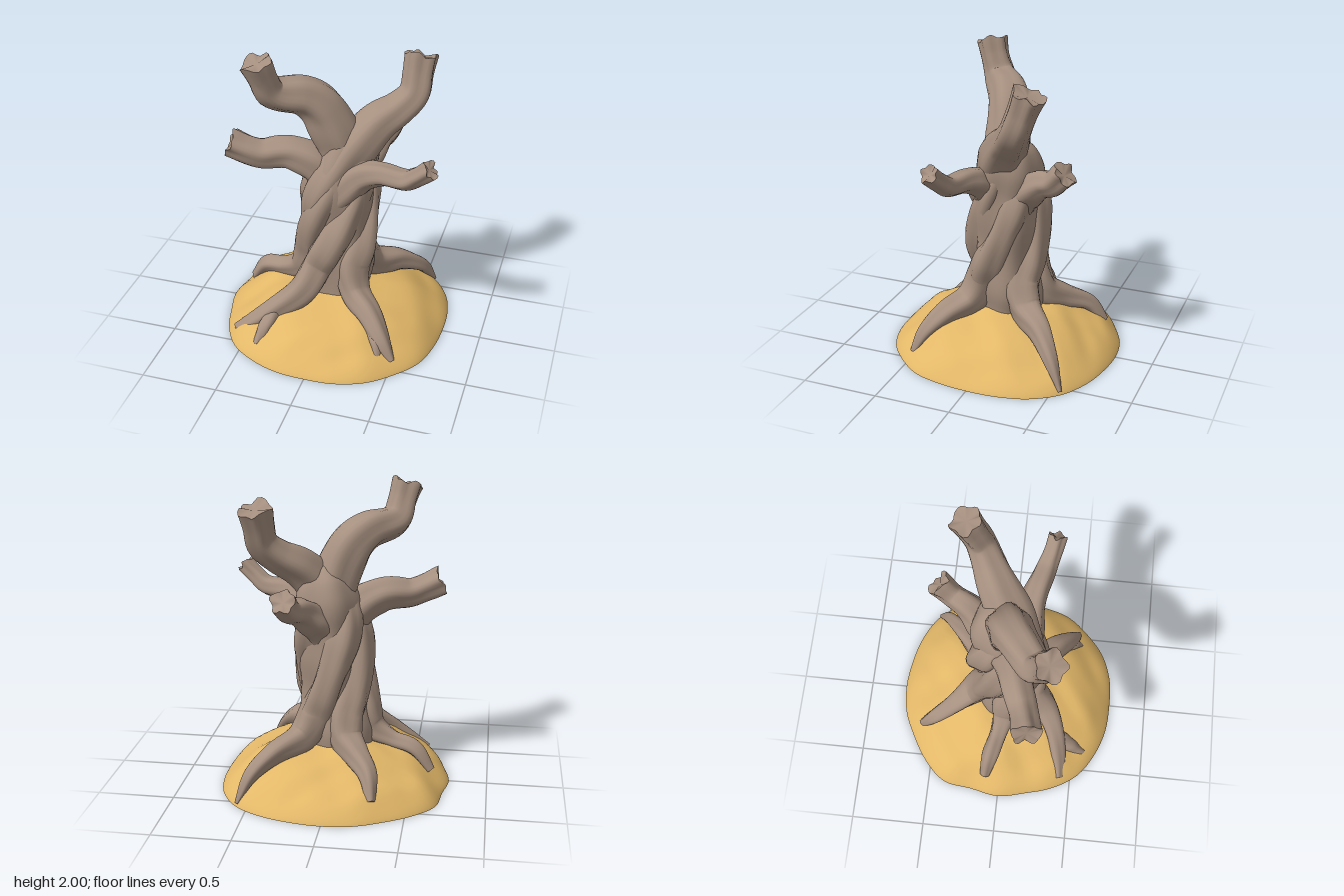
import * as THREE from 'three';

const V = (x, y, z) => new THREE.Vector3(x, y, z);

// Gnarled limb: points are [x, y, z, radius]; ridges run along it and slowly twist.
function limbGeometry(pts, { sides = 20, ridge = 0.08, lobes = 4, twist = 2, seed = 0, ragged = 0 } = {}) {
  const curve = new THREE.CatmullRomCurve3(pts.map(p => V(p[0], p[1], p[2])));
  const radii = new THREE.CatmullRomCurve3(pts.map(p => V(p[3], 0, 0)), false, 'catmullrom');
  const steps = pts.length * 7;
  const f = curve.computeFrenetFrames(steps, false);
  const pos = [], idx = [];
  const flare = ragged ? 1 : 0;
  for (let i = 0; i <= steps; i++) {
    const u = i / steps, t = curve.getUtoTmapping(u);
    const c = curve.getPoint(t), r = radii.getPoint(t).x;
    const end = flare * Math.max(0, (u - 0.8) / 0.2);
    for (let j = 0; j < sides; j++) {
      const a = (j / sides) * Math.PI * 2;
      const k = 1 + ridge * (1 + end * 0.8) * Math.cos(lobes * a + twist * u * 3 + seed)
        + ridge * 0.5 * Math.sin(2 * a - 7 * u + seed * 2) + 0.04 * Math.sin(17 * u + seed + a);
      const p = c.clone().addScaledVector(f.normals[i], Math.cos(a) * r * k)
        .addScaledVector(f.binormals[i], Math.sin(a) * r * k);
      if (i === steps) p.addScaledVector(f.tangents[i], ragged * Math.sin(3 * a + seed * 3) + ragged * 0.6 * Math.sin(7 * a));
      pos.push(p.x, p.y, p.z);
    }
  }
  for (let i = 0; i < steps; i++) for (let j = 0; j < sides; j++) {
    const a = i * sides + j, b = i * sides + (j + 1) % sides;
    idx.push(a, b, b + sides, a, b + sides, a + sides);
  }
  // end caps on their own vertices, so that the rims stay sharp
  for (const i of [0, steps]) {
    const base = pos.length / 3;
    for (let j = 0; j < sides * 3; j++) pos.push(pos[i * sides * 3 + j]);
    const c = curve.getPoint(i / steps).addScaledVector(f.tangents[i], i ? -ragged * 1.2 : 0);
    pos.push(c.x, c.y, c.z);
    for (let j = 0; j < sides; j++) {
      const a = base + j, b = base + (j + 1) % sides;
      idx.push(base + sides, ...(i ? [a, b] : [b, a]));
    }
  }
  const g = new THREE.BufferGeometry();
  g.setAttribute('position', new THREE.Float32BufferAttribute(pos, 3));
  g.setIndex(idx);
  g.computeVertexNormals();
  return g;
}

// Sandy mound: an open dome with an uneven outline and soft dunes.
function moundGeometry() {
  const rim = [0.745, 0.75, 0.77, 0.765, 0.77, 0.76, 0.745, 0.755, 0.765, 0.775, 0.755, 0.735,
    0.75, 0.74, 0.785, 0.765, 0.745, 0.75, 0.75, 0.755, 0.78, 0.805, 0.795, 0.765];
  const rimCurve = new THREE.CatmullRomCurve3(rim.map((r, i) => {
    const a = (i / rim.length) * Math.PI * 2;
    return V(r * Math.cos(a), 0, r * Math.sin(a));
  }), true);
  const segs = 96, rings = 24, pos = [0, 0.32, 0], idx = [];
  for (let i = 1; i <= rings; i++) for (let j = 0; j < segs; j++) {
    const q = Math.sin((i / rings) * Math.PI / 2);
    const p = rimCurve.getPoint(j / segs).multiplyScalar(q);
    const dune = 0.011 * Math.sin(8 * p.x + 15 * p.z) + 0.009 * Math.sin(13 * p.x - 8 * p.z + 1)
      + 0.005 * Math.sin(24 * p.x + 9 * p.z) * Math.cos(21 * p.z);
    const fade = 1 - q * q;
    pos.push(p.x, i === rings ? 0 : 0.32 * Math.pow(fade, 0.78) + dune * Math.min(1, fade * 3), p.z);
  }
  for (let j = 0; j < segs; j++) {
    const n = (j + 1) % segs;
    idx.push(0, 1 + n, 1 + j);
    for (let i = 0; i < rings - 1; i++) {
      const a = 1 + i * segs + j, b = 1 + i * segs + n;
      idx.push(a, b, b + segs, a, b + segs, a + segs);
    }
  }
  const g = new THREE.BufferGeometry();
  g.setAttribute('position', new THREE.Float32BufferAttribute(pos, 3));
  g.setIndex(idx);
  g.computeVertexNormals();
  return g;
}

export function createModel() {
  const bark = new THREE.MeshStandardMaterial({ color: 0xa58f7f });
  bark.name = 'bark';
  const sand = new THREE.MeshStandardMaterial({ color: 0xe2b768, side: THREE.DoubleSide });
  sand.name = 'sand';
  const model = new THREE.Group();
  model.name = 'twistedTree';
  const add = (name, geometry, material = bark) => {
    const m = new THREE.Mesh(geometry, material);
    m.name = name;
    model.add(m);
  };

  add('sandMound', moundGeometry(), sand);

  // trunk core
  add('trunk', limbGeometry([
    [0, 0.25, 0, 0.22], [0, 0.4, 0, 0.23], [0.02, 0.65, 0, 0.215], [0.03, 0.9, 0, 0.215],
    [0.05, 1.12, -0.01, 0.215], [0.07, 1.28, -0.03, 0.2], [0.08, 1.4, -0.04, 0.15], [0.08, 1.47, -0.04, 0.05],
  ], { sides: 40, lobes: 5, ridge: 0.05, twist: -0.8 }));

  // each root rises out of the sand and winds up the trunk as a strand
  const roots = {
    frontRightRoot: [[-0.58, 0.05, 0.42, 0.025], [-0.45, 0.12, 0.4, 0.055], [-0.31, 0.23, 0.36, 0.07], [-0.15, 0.35, 0.27, 0.092]],
    frontLeftRoot: [[0.51, 0.06, 0.48, 0.02], [0.43, 0.17, 0.43, 0.05], [0.32, 0.28, 0.32, 0.075], [0.19, 0.35, 0.2, 0.095]],
    backLeftRoot: [[0.57, 0.02, -0.56, 0.012], [0.49, 0.18, -0.47, 0.045], [0.36, 0.29, -0.35, 0.068], [0.2, 0.35, -0.19, 0.1]],
    backRightRoot: [[-0.29, 0.1, -0.58, 0.03], [-0.26, 0.23, -0.48, 0.055], [-0.17, 0.3, -0.34, 0.075], [-0.09, 0.37, -0.22, 0.1]],
    rightRoot: [[-0.63, 0.12, -0.1, 0.03], [-0.52, 0.26, -0.07, 0.055], [-0.37, 0.3, -0.03, 0.06], [-0.23, 0.37, 0, 0.09]],
  };
  Object.entries(roots).forEach(([name, pts], n) => {
    const [kx, , kz] = pts[3], a0 = Math.atan2(kx, kz) + 0.1;
    const path = [...pts];
    for (let i = 0; i <= 7; i++) {
      const s = i / 7, a = a0 + 2.2 * s;
      const sink = Math.max(0, s - 0.65) / 0.35;
      const r = 0.18 - 0.035 * s - 0.075 * sink;
      path.push([0.05 * s + r * Math.sin(a), 0.5 + 0.88 * s, r * Math.cos(a) - 0.025 * s,
        0.108 - 0.015 * s - 0.035 * sink + 0.008 * Math.sin(9 * s + n)]);
    }
    add(name, limbGeometry(path, { sides: 24, seed: n * 1.7, lobes: 4, ridge: 0.1, twist: 3 }));
  });

  // forked toes
  add('frontRightToe', limbGeometry([[-0.38, 0.06, 0.57, 0.025], [-0.36, 0.13, 0.48, 0.045], [-0.3, 0.23, 0.36, 0.05]], { ridge: 0.06 }));
  add('frontLeftToe', limbGeometry([[0.42, 0.07, 0.51, 0.02], [0.39, 0.16, 0.44, 0.04], [0.31, 0.27, 0.33, 0.05]], { ridge: 0.06 }));

  // broken branches; the upper left one sweeps up out of the front of the trunk
  const branches = {
    upperRightBranch: [[0.05, 1.15, 0, 0.13], [0, 1.38, 0, 0.145], [-0.08, 1.57, 0.03, 0.138], [-0.19, 1.67, 0.08, 0.12],
      [-0.35, 1.73, 0.2, 0.1], [-0.39, 1.84, 0.25, 0.088], [-0.42, 1.95, 0.28, 0.095]],
    upperLeftBranch: [[-0.13, 0.82, 0.1, 0.08], [-0.08, 0.98, 0.11, 0.11], [0.01, 1.14, 0.09, 0.125], [0.11, 1.31, 0.01, 0.145],
      [0.24, 1.46, -0.08, 0.125], [0.36, 1.55, -0.15, 0.105], [0.44, 1.64, -0.21, 0.095], [0.455, 1.76, -0.26, 0.092], [0.465, 1.87, -0.3, 0.1]],
    lowerRightBranch: [[0.02, 1.0, 0.02, 0.14], [-0.13, 1.18, 0.04, 0.125], [-0.28, 1.26, 0.08, 0.105],
      [-0.45, 1.255, 0.13, 0.092], [-0.55, 1.29, 0.16, 0.088], [-0.65, 1.33, 0.18, 0.09]],
    lowerLeftBranch: [[-0.02, 0.92, 0.13, 0.07], [0.08, 1.06, 0.13, 0.095], [0.2, 1.18, 0.12, 0.095], [0.34, 1.24, 0.15, 0.075],
      [0.5, 1.25, 0.2, 0.065], [0.58, 1.31, 0.23, 0.058], [0.66, 1.38, 0.25, 0.058]],
    backBranch: [[0.06, 0.98, -0.04, 0.12], [0.13, 1.14, -0.18, 0.11], [0.2, 1.23, -0.3, 0.085],
      [0.24, 1.26, -0.38, 0.075], [0.27, 1.34, -0.47, 0.08]],
  };
  Object.entries(branches).forEach(([name, pts], n) =>
    add(name, limbGeometry(pts, { sides: 28, seed: n * 2.1, lobes: 5, ridge: 0.07, twist: 1.2, ragged: 0.012 })));

  return model;
}
